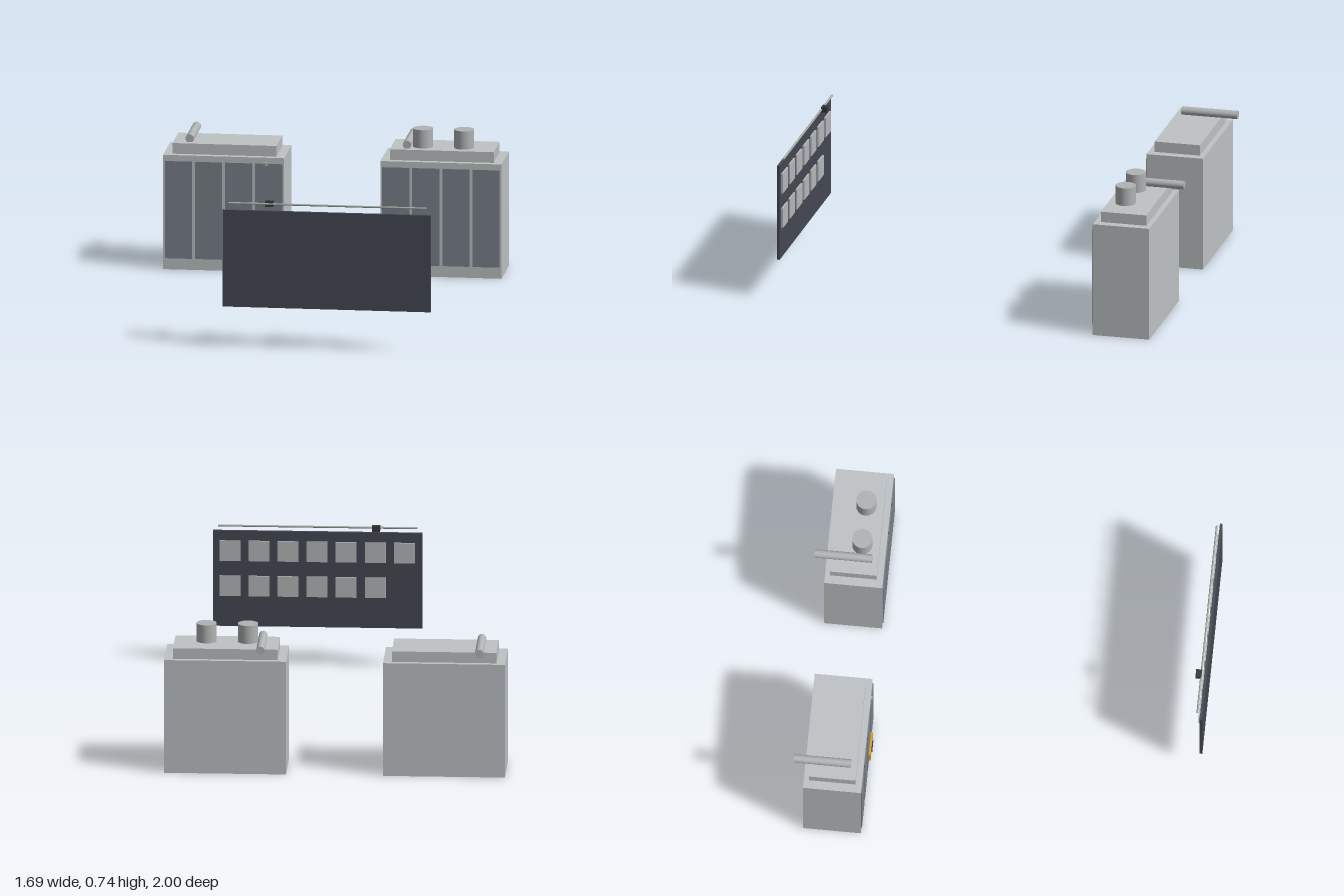
import * as THREE from 'three';

const paint = (name, color) => {
  const m = new THREE.MeshStandardMaterial({ color });
  m.name = name;
  return m;
};

export function createModel() {
  const shell = paint('light grey shell', 0xbec2c4);
  const metal = paint('pipe grey', 0xb0b3b4);
  const door = paint('slate door', 0x7a828a);
  const dark = paint('charcoal board', 0x444852);
  const black = paint('dark fitting', 0x33363a);
  const yellow = paint('yellow', 0xcf9f1f);
  const tileGrey = paint('tile grey', 0xb4b8ba);
  const railGrey = paint('rail grey', 0xa4aaa2);

  const model = new THREE.Group();
  model.name = 'cabinetsAndBoard';

  // Box given by its minimum and maximum along each axis
  const box = (parent, name, mat, [x0, x1], [y0, y1], [z0, z1]) => {
    const mesh = new THREE.Mesh(new THREE.BoxGeometry(x1 - x0, y1 - y0, z1 - z0), mat);
    mesh.position.set((x0 + x1) / 2, (y0 + y1) / 2, (z0 + z1) / 2);
    mesh.name = name;
    parent.add(mesh);
    return mesh;
  };
  const cylinder = (parent, name, mat, r, length, x, y, z) => {
    const mesh = new THREE.Mesh(new THREE.CylinderGeometry(r, r, length, 32), mat);
    mesh.position.set(x, y, z);
    mesh.name = name;
    parent.add(mesh);
    return mesh;
  };

  // Cabinet with raised cap, four doors and an exhaust pipe to the rear
  const front = -0.653;
  const cabinet = (name, cx) => {
    const g = new THREE.Group();
    g.name = name;
    g.position.x = cx;
    model.add(g);
    box(g, 'cabinetBody', shell, [-0.303, 0.303], [0, 0.582], [-0.942, front]);
    box(g, 'cabinetCap', shell, [-0.26, 0.26], [0.582, 0.636], [-0.916, -0.684]);
    for (let i = 0; i < 4; i++) {
      const x = (i - 1.5) * 0.1505;
      box(g, 'door', door, [x - 0.068, x + 0.068], [0.057, 0.552], [front, front + 0.005]);
    }
    const pipe = cylinder(g, 'exhaustPipe', metal, 0.021, 0.286, -0.178, 0.654, -0.857);
    pipe.rotation.x = Math.PI / 2;
    return g;
  };

  // Right cabinet carries a yellow control box and a small catch
  const right = cabinet('rightCabinet', -0.545);
  box(right, 'controlBox', yellow, [0.04, 0.162], [0.12, 0.203], [front, -0.638]);
  box(right, 'controlSlot', black, [0.075, 0.13], [0.154, 0.168], [-0.638, -0.633]);
  box(right, 'doorCatch', metal, [0.207, 0.222], [0.542, 0.557], [front, -0.646]);

  // Left cabinet carries two round vents
  const left = cabinet('leftCabinet', 0.542);
  for (const x of [-0.105, 0.101]) cylinder(left, 'roofVent', metal, 0.05, 0.093, x, 0.6825, -0.771);

  // Freestanding board with tiles on its rear face
  const board = new THREE.Group();
  board.name = 'board';
  model.add(board);
  box(board, 'boardPanel', dark, [-0.34, 0.7], [0.205, 0.697], [0.986, 1]);
  [[7, 0.595], [6, 0.414]].forEach(([count, y]) => {
    for (let i = 0; i < count; i++) {
      const x = 0.617 - i * 0.1446;
      box(board, 'rearTile', tileGrey, [x - 0.052, x + 0.052], [y - 0.052, y + 0.052], [0.977, 0.986]);
    }
  });

  // Thin rail above the board and its slider
  const rail = cylinder(board, 'rail', railGrey, 0.005, 0.99, 0.18, 0.727, 0.973);
  rail.rotation.z = Math.PI / 2;
  box(board, 'railSlider', black, [-0.131, -0.091], [0.713, 0.74], [0.945, 0.975]);

  return model;
}
